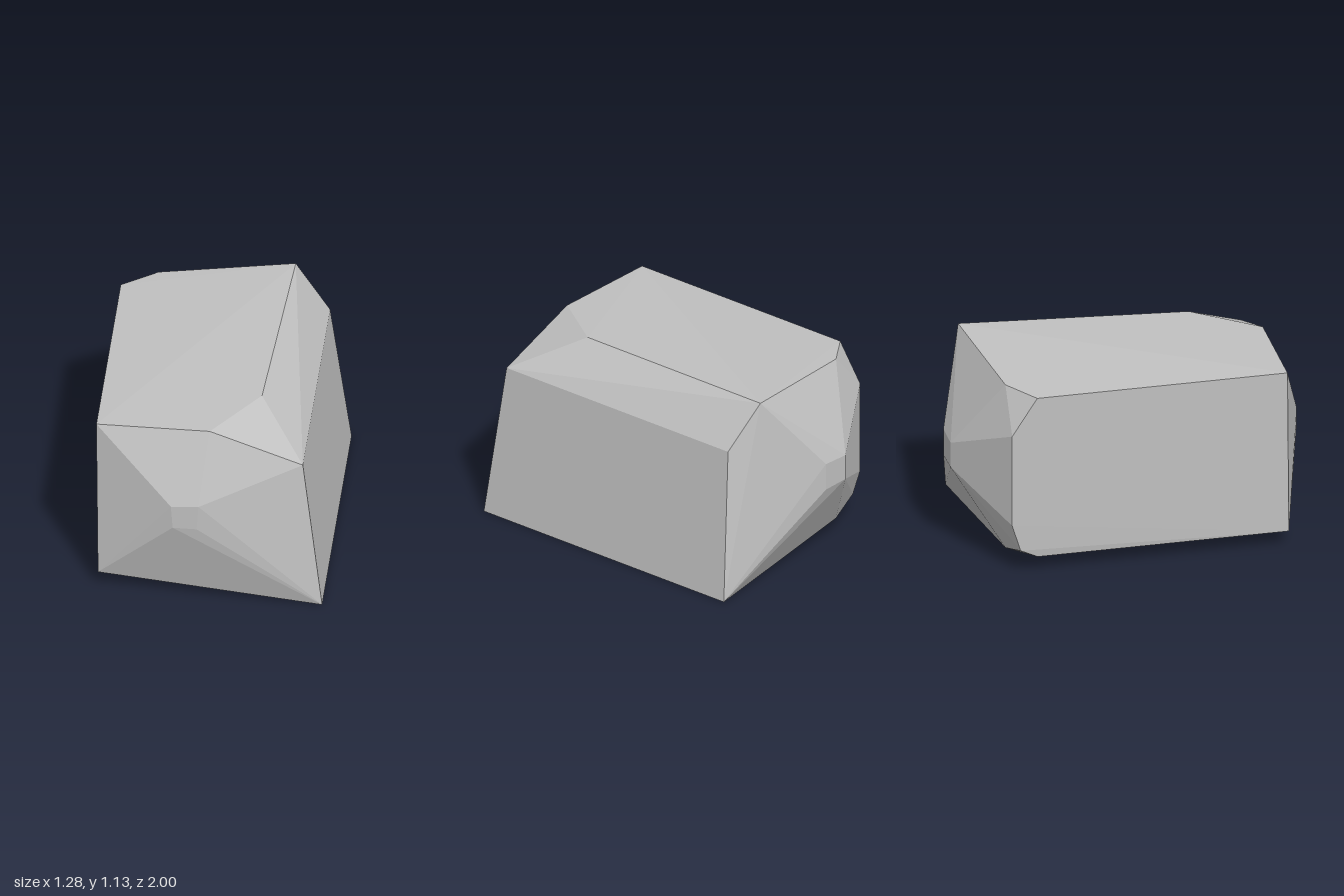
import * as THREE from 'three';
import { ConvexGeometry } from 'three/addons/geometries/ConvexGeometry.js';

export function createModel() {
  const group = new THREE.Group();
  group.name = 'rock';

  const stone = new THREE.MeshStandardMaterial({ color: 0xc0c0c0 });
  stone.name = 'grey stone';

  // Corners of the faceted block, grouped by region
  const frontRim = [
    [-0.64, 1.07, 0.84], [0, 1.07, 0.855], [0.525, 0.88, 0.86],
    [0.64, 0, 0.93], [-0.63, 0.09, 0.85],
  ];
  const frontBulge = [
    [-0.205, 0.647, 1], [-0.05, 0.655, 1], [-0.195, 0.508, 1], [-0.06, 0.505, 1],
  ];
  const topRidge = [[0.26, 1.09, 0.49], [0.325, 1.13, -0.825]];
  const backRim = [
    [0.525, 0.88, -0.755], [0.64, 0, -0.82],
    [-0.44, 1.08, -0.74], [-0.64, 1.07, -0.605], [-0.64, 0.85, -0.75],
    [-0.64, 0.3, -0.75], [-0.637, 0.14, -0.7], [-0.63, 0.09, -0.6], [-0.44, 0.077, -0.74],
  ];
  const backBulge = [
    [-0.21, 0.65, -1], [-0.04, 0.66, -1], [-0.21, 0.5, -1], [-0.04, 0.5, -1],
  ];

  // One flat-faced hull wraps all corners
  const corners = [...frontRim, ...frontBulge, ...topRidge, ...backRim, ...backBulge]
    .map((p) => new THREE.Vector3(...p));
  const block = new THREE.Mesh(new ConvexGeometry(corners), stone);
  block.name = 'rockBlock';
  group.add(block);

  return group;
}
